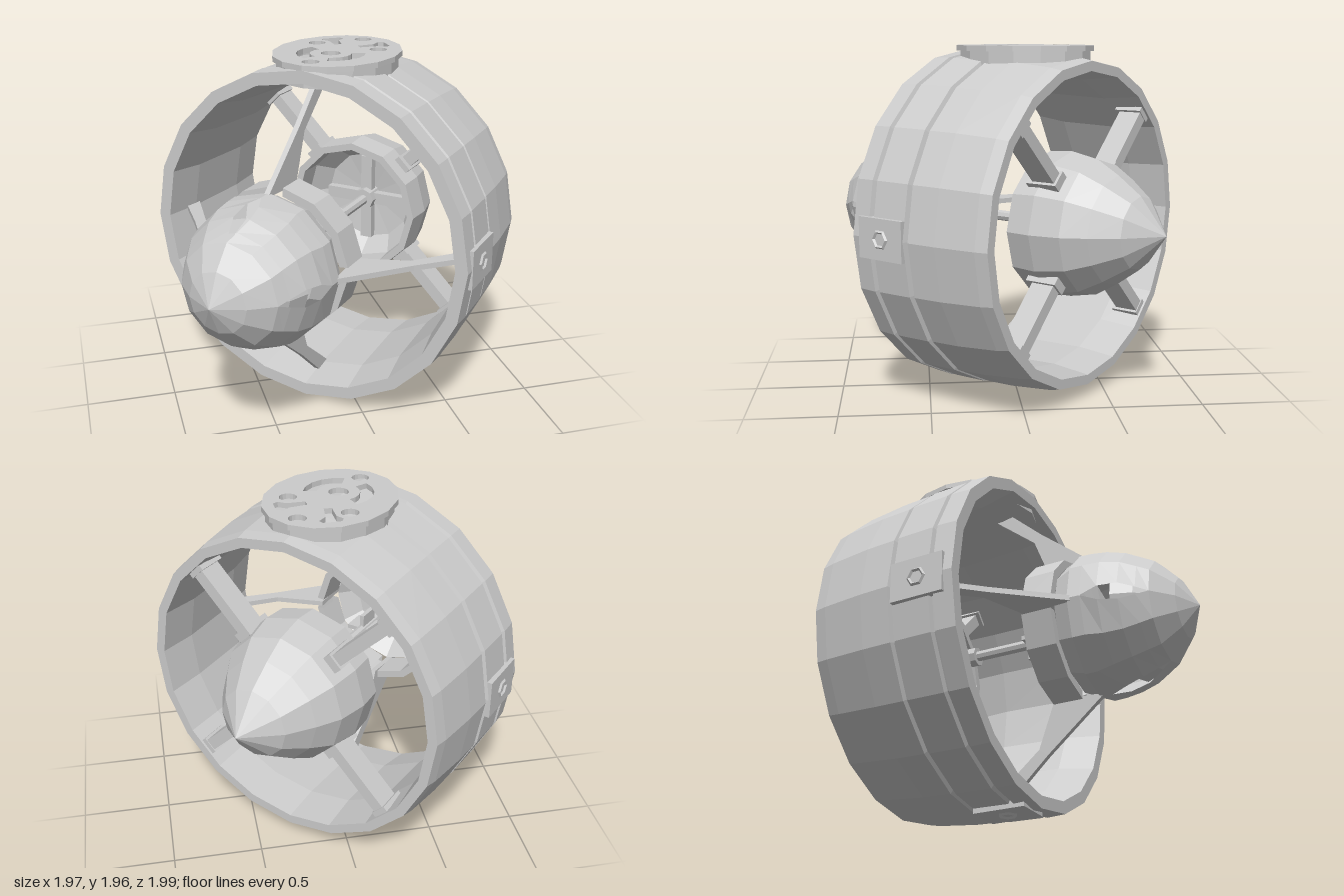
import * as THREE from 'three';

const mat = new THREE.MeshStandardMaterial({ color: 0xcccccc, flatShading: true, side: THREE.DoubleSide });
const Q = Math.PI / 2;

function add(parent, name, geo, x = 0, y = 0, z = 0) {
  const m = new THREE.Mesh(geo, mat);
  m.name = name;
  m.position.set(x, y, z);
  parent.add(m);
  return m;
}

// Turned part about the duct axis (z); profile is [radius, z]
function turned(profile, sides) {
  const pts = profile.map(([r, z]) => new THREE.Vector2(r, z));
  return new THREE.LatheGeometry(pts, sides).rotateX(Q);
}

// Cylinder along z
const rod = (r1, r2, len, sides) => new THREE.CylinderGeometry(r1, r2, len, sides).rotateX(Q);

// Quarter of the nose shell, pulled back along its seams to leave lens-shaped vents
function noseQuarter() {
  // [radius, z, half angle of the vent]
  const rows = [[0.405, 0.79, 0], [0.402, 0.86, 0], [0.39, 0.95, 0.1], [0.36, 1.05, 0.13],
    [0.315, 1.13, 0.07], [0.28, 1.19, 0], [0.165, 1.29, 0], [0.0, 1.37, 0]];
  const n = 3, pos = [], idx = [];
  rows.forEach(([r, z, gap], j) => {
    for (let i = 0; i <= n; i++) {
      const a = gap + (Q - 2 * gap) * i / n;
      pos.push(r * Math.cos(a), r * Math.sin(a), z);
      if (j && i) {
        const b = j * (n + 1) + i, c = b - n - 1;
        idx.push(c - 1, c, b, c - 1, b, b - 1);
      }
    }
  });
  const g = new THREE.BufferGeometry();
  g.setAttribute('position', new THREE.Float32BufferAttribute(pos, 3));
  g.setIndex(idx);
  g.computeVertexNormals();
  return g;
}

function circleHole(x, y, r) {
  const p = new THREE.Path();
  p.absarc(x, y, r, 0, Math.PI * 2, true);
  return p;
}

const polyHole = (points) => new THREE.Path(points.map(([x, y]) => new THREE.Vector2(x, y)));

// Pierced oval plate; shape y is -z of the duct
function topPlate() {
  const s = new THREE.Shape();
  s.absellipse(0, -0.02, 0.345, 0.41, 0, Math.PI * 2, false);
  s.holes.push(circleHole(0, -0.1, 0.055));
  for (const [x, y] of [[0, -0.33], [0.19, 0.1], [-0.19, 0.1], [0, 0.3]]) s.holes.push(circleHole(x, y, 0.048));
  for (const k of [-1, 1]) {
    // angular slot with a widened end
    s.holes.push(polyHole([[0.05, 0.13], [0.08, 0.1], [0.15, 0.17], [0.2, 0.18], [0.21, 0.21], [0.14, 0.28],
      [0.11, 0.27], [0.11, 0.21]].map(([x, y]) => [k * x, y])));
    // curved slot around the middle hole
    const arc = [];
    for (let i = 0; i <= 5; i++) arc.push([0.19, -1.2 + i * 0.34]);
    for (let i = 5; i >= 0; i--) arc.push([0.115, -1.2 + i * 0.34]);
    s.holes.push(polyHole(arc.map(([r, a]) => [k * r * Math.cos(a), -0.1 + r * Math.sin(a)])));
  }
  return new THREE.ExtrudeGeometry(s, { depth: 0.03, bevelEnabled: false, curveSegments: 8 }).rotateX(-Q);
}

export function createModel() {
  const model = new THREE.Group();
  const fan = new THREE.Group();
  fan.name = 'ductedThruster';
  fan.position.set(0.02, 0.975, -0.07);
  fan.rotation.y = -0.742;
  model.add(fan);

  // Duct ring with grooves between its bands
  add(fan, 'ductRing', turned([[0.85, -0.43], [0.905, -0.43], [0.92, -0.36], [0.945, -0.12], [0.952, 0.05],
    [0.93, 0.06], [0.93, 0.07], [0.957, 0.08], [0.962, 0.29], [0.94, 0.3], [0.94, 0.31], [0.965, 0.32],
    [0.96, 0.43], [0.89, 0.43], [0.85, 0.22], [0.83, -0.2], [0.85, -0.43]], 20));

  // Pads on both sides and underneath, with hollow hexagonal bolts
  for (const a of [0, -Q, Math.PI]) {
    const pad = new THREE.Group();
    pad.name = 'boltPad';
    pad.rotation.z = a;
    fan.add(pad);
    add(pad, 'padBlock', new THREE.BoxGeometry(0.04, 0.22, 0.3), 0.948, 0, 0.23);
    add(pad, 'padBolt', new THREE.TorusGeometry(0.045, 0.012, 4, 6).rotateY(Q), 0.966, 0, 0.23);
  }

  // Pierced cap on top, with a skirt down to the ring
  add(fan, 'topPlate', topPlate(), 0, 0.955, 0);
  const skirt = new THREE.CylinderGeometry(1, 1, 0.1, 16, 1, true).scale(0.325, 1, 0.39);
  add(fan, 'plateSkirt', skirt, 0, 0.91, 0.02);

  // Rear hollow body with tapered tail
  add(fan, 'rearBody', turned([[0, -0.91], [0.2, -0.75], [0.3, -0.61], [0.375, -0.48], [0.41, -0.31], [0.4, -0.16],
    [0.36, -0.16], [0.355, -0.3], [0.27, -0.41], [0, -0.44]], 12));

  // Cupped bulkhead and solid core inside the nose
  add(fan, 'noseBulkhead', turned([[0.4, 0.8], [0.36, 0.7], [0.27, 0.8], [0, 0.84]], 12));
  add(fan, 'noseCore', turned([[0, 1.0], [0.34, 1.0], [0.3, 1.11], [0.22, 1.2], [0, 1.26]], 12));

  // Matching hub in both cups, cross bars in the rear one
  for (const z of [-0.38, 0.78]) add(fan, 'cupHub', rod(0.065, 0.065, 0.12, 8), 0, 0, z);
  for (const a of [0, Q]) {
    add(fan, 'hubBar', new THREE.BoxGeometry(0.52, 0.07, 0.05), 0, 0, -0.39).rotation.z = a;
    add(fan, 'shaftFin', new THREE.BoxGeometry(0.19, 0.025, 0.13), 0, 0, 0.44).rotation.z = a;
  }

  // Central shaft with its collar
  add(fan, 'shaft', rod(0.03, 0.03, 1.2, 8), 0, 0, 0.2);
  add(fan, 'shaftCollar', rod(0.055, 0.055, 0.06, 8), 0, 0, 0.02);

  // Thin triangular web between the nose and the duct
  const webShape = new THREE.Shape([[0.37, 0.53], [0.39, 0.82], [0.68, 0.48], [0.87, 0.28], [0.87, 0.16], [0.64, 0.43]]
    .map(([r, z]) => new THREE.Vector2(r, z)));
  const web = new THREE.ExtrudeGeometry(webShape, { depth: 0.03, bevelEnabled: false })
    .translate(0, 0, -0.015).rotateX(Q);

  // Curved collar segment with a gap at each web
  const collarPts = [[0.365, 0.53], [0.408, 0.53], [0.408, 0.7], [0.36, 0.7], [0.365, 0.53]]
    .map(([r, z]) => new THREE.Vector2(r, z));
  const collar = new THREE.LatheGeometry(collarPts, 3, 0.08, Q - 0.16).rotateX(Q);

  const nose = noseQuarter();
  for (let i = 0; i < 4; i++) {
    const a = i * Q;
    add(fan, 'noseShell', nose).rotation.z = a;
    add(fan, 'collarSegment', collar).rotation.z = a;
    add(fan, 'frontWeb', web).rotation.z = a;

    // Diagonal rear strut with a foot at each end
    const strut = new THREE.Group();
    strut.name = 'rearStrut';
    strut.rotation.z = a + Q / 2;
    fan.add(strut);
    add(strut, 'strutBar', new THREE.BoxGeometry(0.48, 0.07, 0.14), 0.6, 0, -0.345);
    add(strut, 'strutInnerFoot', new THREE.BoxGeometry(0.05, 0.1, 0.19), 0.4, 0, -0.335);
    add(strut, 'strutOuterFoot', new THREE.BoxGeometry(0.03, 0.1, 0.17), 0.82, 0, -0.335);
  }
  return model;
}
